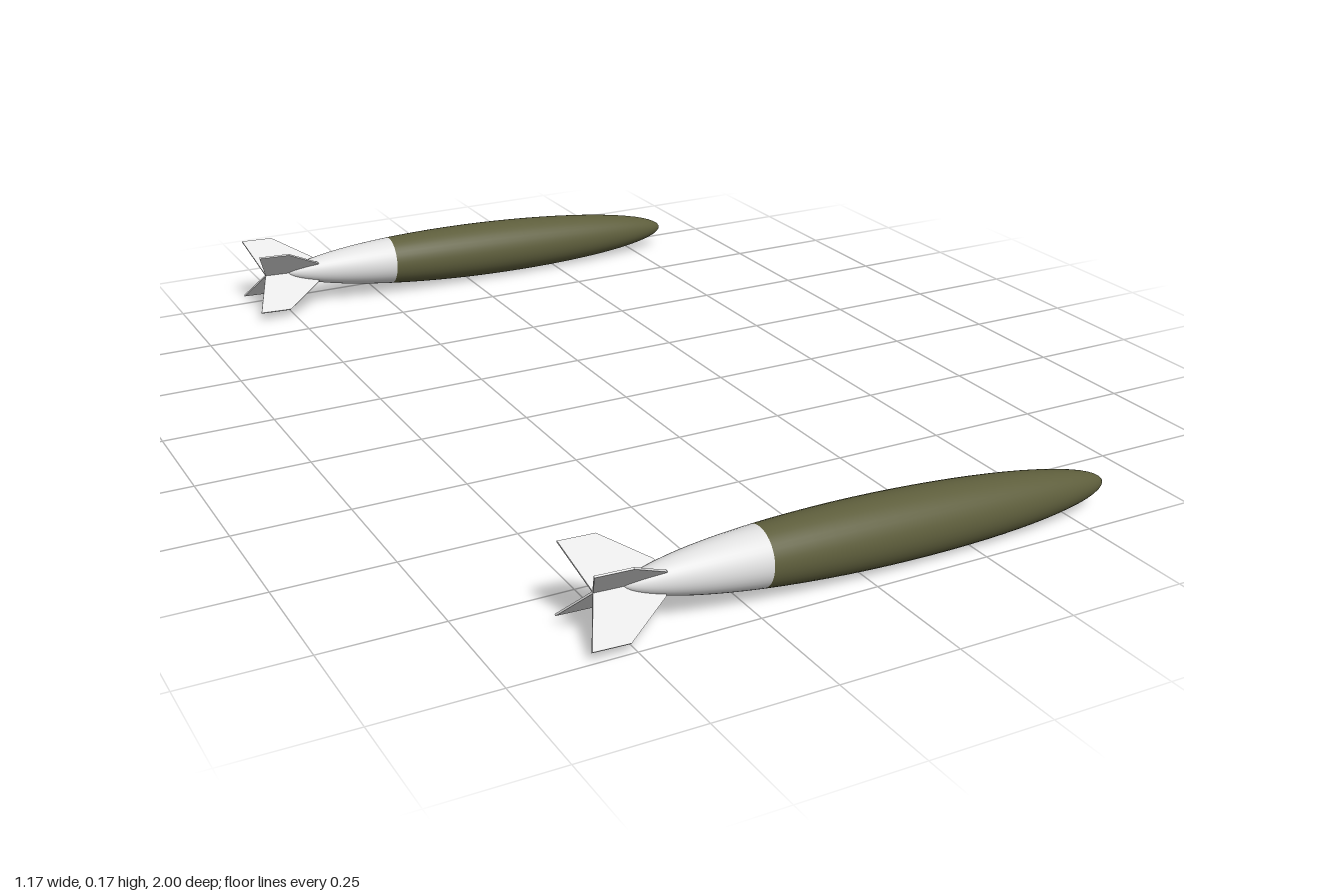
import * as THREE from 'three';

const HALF_LENGTH = 0.539, RADIUS = 0.07, SEAM = -0.264, TILT = -0.035;

const olive = new THREE.MeshStandardMaterial({ color: 0x5e5e3c });
olive.name = 'olive paint';
const paleGrey = new THREE.MeshStandardMaterial({ color: 0xe0e0e0 });
paleGrey.name = 'pale grey paint';

// Hull radius at an axial position: an ellipse with a slightly slimmer tail
function hullRadius(x) {
  const t = Math.min(1, Math.abs(x) / HALF_LENGTH);
  return RADIUS * Math.pow(1 - t * t, x < 0 ? 0.57 : 0.5);
}

// Section of the hull between two axial positions, turned to lie along x
function hullSection(name, from, to, material) {
  const a = Math.acos(-from / HALF_LENGTH), b = Math.acos(-to / HALF_LENGTH);
  const points = [];
  for (let i = 0; i <= 24; i++) {
    const x = -HALF_LENGTH * Math.cos(a + (b - a) * i / 24);
    points.push(new THREE.Vector2(hullRadius(x), x));
  }
  const geometry = new THREE.LatheGeometry(points, 40);
  geometry.rotateZ(-Math.PI / 2);
  const mesh = new THREE.Mesh(geometry, material);
  mesh.name = name;
  return mesh;
}

// Swept tail fin: x runs along the hull, y outward from its axis
function finGeometry() {
  const thickness = 0.004;
  const outline = [[-0.598, 0], [-0.45, 0], [-0.466, 0.036], [-0.558, 0.103], [-0.634, 0.103]];
  const shape = new THREE.Shape(outline.map(([x, y]) => new THREE.Vector2(x, y)));
  const geometry = new THREE.ExtrudeGeometry(shape, { depth: thickness, bevelEnabled: false });
  return geometry.translate(0, 0, -thickness / 2);
}

function createTank(name) {
  const tank = new THREE.Group();
  tank.name = name;
  tank.add(hullSection('forwardHull', SEAM, HALF_LENGTH, olive));
  tank.add(hullSection('tailCone', -HALF_LENGTH, SEAM, paleGrey));

  // Four fins in an X
  const fin = finGeometry();
  for (let i = 0; i < 4; i++) {
    const mesh = new THREE.Mesh(fin, paleGrey);
    mesh.name = 'tailFin' + (i + 1);
    mesh.rotation.x = Math.PI / 4 + i * Math.PI / 2;
    tank.add(mesh);
  }
  tank.rotation.z = TILT;
  return tank;
}

export function createModel() {
  const model = new THREE.Group();
  model.name = 'dropTankPair';
  for (const side of [1, -1]) {
    const tank = createTank(side > 0 ? 'frontTank' : 'backTank');
    tank.position.set(0.048, 0.0727, side * 0.9255);
    model.add(tank);
  }
  return model;
}
